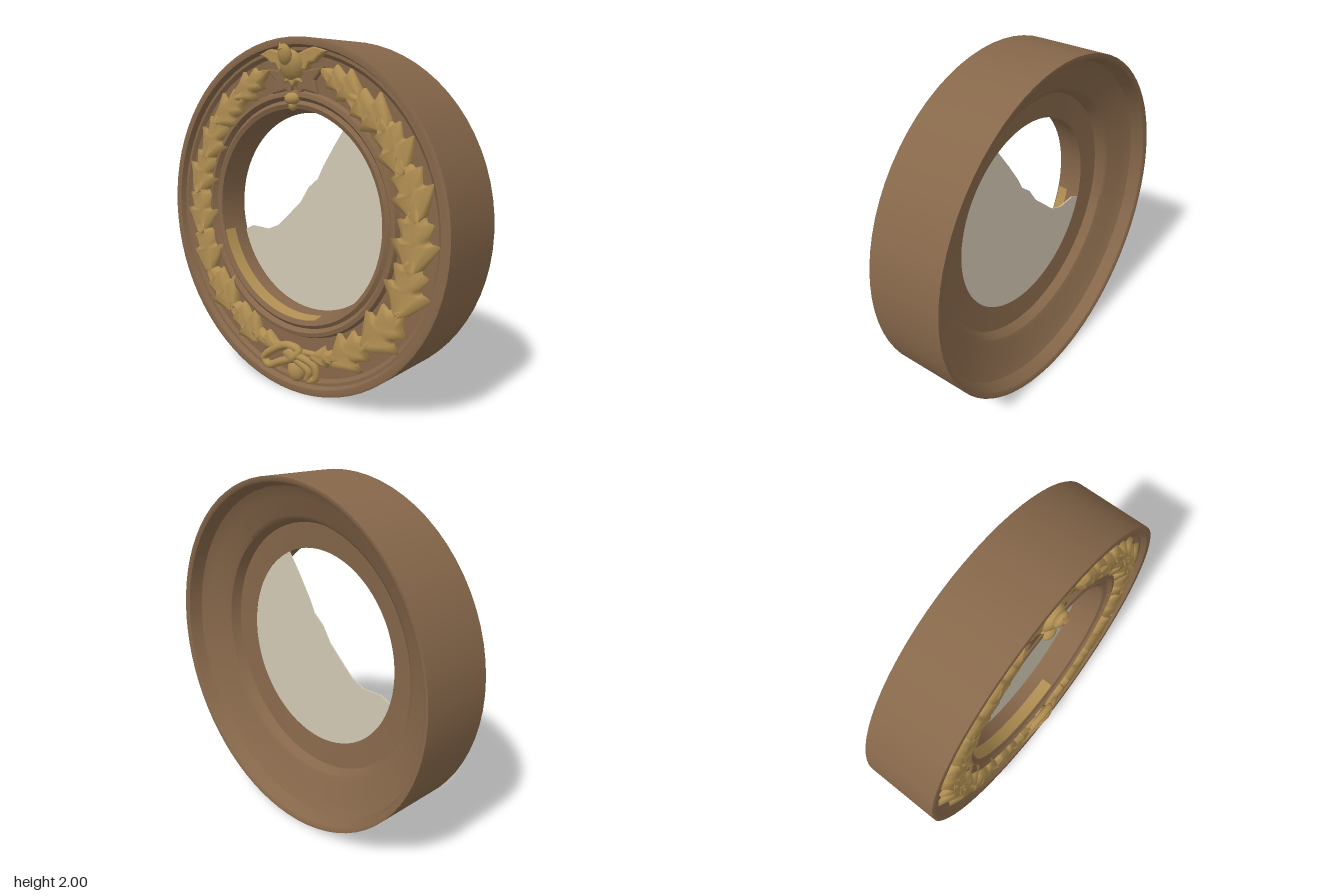
import * as THREE from 'three';
import { toCreasedNormals } from 'three/addons/utils/BufferGeometryUtils.js';

const V2 = (p) => p.map(([x, y]) => new THREE.Vector2(x, y));
const FIELD = 0.135; // depth of the sunken front face

export function createModel() {
  const group = new THREE.Group();
  const mat = (name, color, side = THREE.FrontSide) => {
    const m = new THREE.MeshStandardMaterial({ color, side });
    m.name = name;
    return m;
  };
  const wood = mat('brown wood', 0x86674a);
  const gold = mat('old gold', 0xb08e52);
  const glass = mat('grey glass', 0xd2c8b4, THREE.DoubleSide);

  const add = (name, geometry, material, x = 0, y = 0, z = 0, parent = group) => {
    const mesh = new THREE.Mesh(geometry, material);
    mesh.name = name;
    mesh.position.set(x, y, z);
    parent.add(mesh);
    return mesh;
  };
  const tube = (pts, r, closed = false) => new THREE.TubeGeometry(
    new THREE.CatmullRomCurve3(pts.map((p) => new THREE.Vector3(...p)), closed), 48, r, 8, closed);
  const plate = (pts, depth) => new THREE.ExtrudeGeometry(new THREE.Shape(V2(pts)),
    { depth, bevelEnabled: true, bevelSize: 0.012, bevelThickness: 0.012, bevelSegments: 2 });

  // Turns a profile of (radius, z) about z; the opening sits slightly off centre
  const ring = (profile, start = 0, arc = Math.PI * 2) => {
    const g = new THREE.LatheGeometry(V2(profile), 72, start, arc).rotateX(Math.PI / 2);
    const p = g.attributes.position;
    for (let i = 0; i < p.count; i++) {
      const w = THREE.MathUtils.clamp((0.9 - Math.hypot(p.getX(i), p.getY(i))) / 0.2, 0, 1);
      p.setXY(i, p.getX(i) - 0.013 * w, p.getY(i) + 0.022 * w);
    }
    return toCreasedNormals(g, 0.6);
  };

  // Frame: outer wall, moulded front, opening, hollow back
  add('frame', ring([
    [1, -0.26], [1, 0.186], [0.99, 0.19], [0.96, 0.186], [0.947, 0.155], [0.93, 0.155], [0.91, 0.138],
    [0.70, FIELD], [0.688, 0.16], [0.665, 0.165], [0.645, 0.14], [0.625, 0.155], [0.6, 0.145],
    [0.575, 0.01], [0.575, -0.02], [0.62, -0.025], [0.72, -0.035], [0.745, -0.09], [0.77, -0.105],
    [0.88, -0.135], [0.945, -0.175], [0.97, -0.25], [0.985, -0.26], [1, -0.26],
  ]), wood, 0, 1, 0);

  // Gilding left on the lower part of the opening's wall
  add('innerGilding', ring([[0.5975, 0.14], [0.584, 0.07]], Math.PI * 1.58, Math.PI * 0.5), gold, 0, 1, 0);

  // Broken pane: jagged edge, then the round edge along the frame
  const pane = [[-0.585, 0.85], [-0.5, 0.89], [-0.37, 0.885], [-0.28, 0.92], [-0.2, 0.99], [-0.1, 1.08],
    [-0.04, 1.17], [0.03, 1.225], [0.07, 1.3], [0.15, 1.42], [0.24, 1.545]];
  const from = Math.atan2(0.523, 0.253), to = Math.atan2(-0.172, -0.572);
  for (let i = 1; i < 40; i++) {
    const a = from + (to - from) * i / 40;
    pane.push([-0.013 + 0.585 * Math.cos(a), 1.022 + 0.585 * Math.sin(a)]);
  }
  add('brokenPane', new THREE.ExtrudeGeometry(new THREE.Shape(V2(pane)), { depth: 0.008, bevelEnabled: false }),
    glass, 0, 0, -0.018);

  // Lobed leaf: cross-sections from stem to tip, raised beside a sunken rib
  const leafGeometry = (() => {
    const half = [[0.1, 0], [0.35, 0.06], [1, 0.43], [0.6, 0.44], [0.5, 0.49], [0.72, 0.71], [0.42, 0.72],
      [0.27, 0.85], [0, 1]];
    const across = [[1, 0], [1, 0.025], [0.55, 0.054], [0, 0.036], [-0.55, 0.054], [-1, 0.025], [-1, 0]];
    const pos = [], index = [], n = across.length;
    half.forEach(([x, y], j) => across.forEach(([k, h], i) => {
      pos.push(x * k, y - 0.5 - 0.1 * x * (1 - Math.abs(k)), j === half.length - 1 ? h * 0.5 : h);
      if (j && i) {
        const b = j * n + i, a = b - n;
        index.push(a - 1, b - 1, a, a, b - 1, b);
      }
    }));
    const g = new THREE.BufferGeometry();
    g.setAttribute('position', new THREE.Float32BufferAttribute(pos, 3));
    g.setIndex(index);
    g.computeVertexNormals();
    return g;
  })();

  // Wreath: two mirrored branches, leaves pointing up to the top
  // Each leaf: degrees from the top, radius, half width, length, tilt outwards
  const leaves = [[23, 0.82, 0.095, 0.31, 0.12], [38, 0.79, 0.115, 0.33, -0.1], [54, 0.79, 0.125, 0.34, 0.12],
    [71, 0.79, 0.135, 0.35, -0.05], [89, 0.785, 0.145, 0.36, 0.05], [107, 0.785, 0.145, 0.35, -0.05],
    [128, 0.79, 0.145, 0.35, 0.12], [148, 0.78, 0.125, 0.33, -0.1], [162, 0.78, 0.06, 0.22, 0.1]];
  for (const s of [-1, 1]) {
    const branch = new THREE.Group();
    branch.name = s > 0 ? 'leftBranch' : 'rightBranch';
    group.add(branch);
    const stem = [];
    leaves.forEach(([deg, r, w, l, tilt]) => {
      const a = deg * Math.PI / 180;
      const x = s * r * Math.sin(a), y = 1 + r * Math.cos(a);
      const leaf = add('leaf', leafGeometry, gold, x, y, FIELD, branch);
      leaf.rotation.z = s * (Math.PI / 2 - a - tilt);
      leaf.scale.set(w, l, 1);
      stem.push([x, y, FIELD + 0.005]);
    });
    stem.push([s * 0.15, 0.25, 0.155], [s * 0.05, 0.25, 0.17]);
    add('stem', tube(stem, 0.018), gold, 0, 0, 0, branch);
  }

  // Bird at the top: broad body, neck leaning forward, raised wings, carved panel behind
  const bird = new THREE.Group();
  bird.name = 'bird';
  group.add(bird);
  const ball = new THREE.SphereGeometry(1, 20, 14);
  const body = add('body', ball, gold, 0, 1.85, 0.172, bird);
  body.scale.set(0.078, 0.088, 0.046);
  body.rotation.x = 0.3;
  const neck = add('neck', ball, gold, -0.005, 1.905, 0.222, bird);
  neck.scale.set(0.046, 0.058, 0.028);
  neck.rotation.x = 0.25;
  const beak = add('beak', new THREE.ConeGeometry(0.02, 0.04, 8), gold, -0.015, 1.95, 0.243, bird);
  beak.rotation.z = 0.4;
  for (const s of [-1, 1]) {
    const mirrored = (pts) => pts.map(([x, y]) => [s * x, y]);
    add(s > 0 ? 'leftWing' : 'rightWing', plate(mirrored([[0.03, 1.84], [0.09, 1.835], [0.11, 1.87],
      [0.15, 1.875], [0.18, 1.9], [0.225, 1.915], [0.16, 1.935], [0.1, 1.92], [0.04, 1.9]]), 0.03),
    gold, 0, 0, FIELD, bird);
    add('carvedPanel', plate(mirrored([[0.03, 1.81], [0.19, 1.83], [0.13, 1.775], [0.15, 1.71], [0.06, 1.73],
      [0.03, 1.7]]), 0.01), wood, 0, 0, FIELD, bird);
  }
  add('tail', plate([[-0.02, 1.8], [-0.05, 1.77], [-0.02, 1.775], [0, 1.755], [0.02, 1.775], [0.05, 1.77],
    [0.02, 1.8]], 0.03), gold, 0, 0, FIELD, bird);

  // Small tassel under the bird
  add('tassel', ball, gold, -0.005, 1.675, 0.165).scale.set(0.048, 0.034, 0.034);
  add('tasselTip', ball, gold, -0.005, 1.64, 0.16).scale.set(0.024, 0.03, 0.024);

  // Bow at the bottom: long loop, short loop, knot and pendant
  const bow = new THREE.Group();
  bow.name = 'bow';
  group.add(bow);
  add('longLoop', tube([[0.06, 0.26, 0.19], [-0.02, 0.275, 0.19], [-0.14, 0.22, 0.175], [-0.25, 0.13, 0.155],
    [-0.21, 0.1, 0.16], [-0.1, 0.15, 0.18], [0.03, 0.22, 0.2]], 0.024, true), gold, 0, 0, 0, bow);
  add('shortLoop', tube([[-0.03, 0.23, 0.2], [0.08, 0.225, 0.19], [0.155, 0.18, 0.165], [0.155, 0.11, 0.155],
    [0.1, 0.085, 0.155], [0.115, 0.145, 0.17], [0.04, 0.2, 0.19]], 0.022, true), gold, 0, 0, 0, bow);
  add('knot', ball, gold, 0.01, 0.225, 0.19).scale.set(0.045, 0.05, 0.035);
  add('pendant', ball, gold, 0.01, 0.125, 0.15).scale.set(0.06, 0.075, 0.05);
  add('pendantTip', ball, gold, 0.01, 0.06, 0.14).scale.set(0.04, 0.02, 0.02);

  return group;
}
